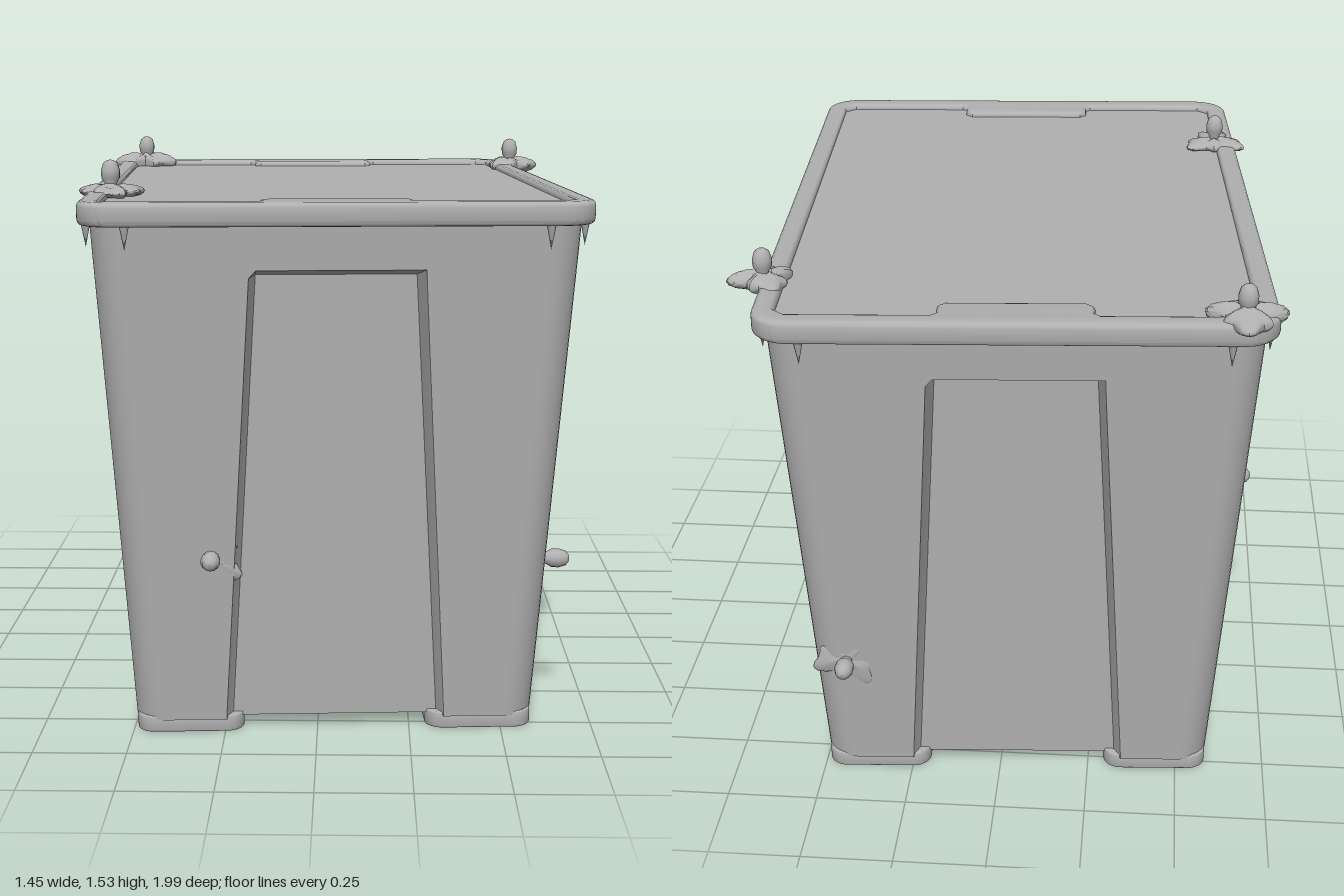
import * as THREE from 'three';
import { toCreasedNormals } from 'three/addons/utils/BufferGeometryUtils.js';

const grey = new THREE.MeshStandardMaterial({ color: 0xb0b0b0, side: THREE.DoubleSide });
grey.name = 'grey plastic';

const YAW = 0.06;
const FLOOR = 0.035;
const halfWidth = y => 0.54 + 0.095 * y / 1.38;
const halfLength = y => 0.82 + 0.1 * y / 1.38;

function add(parent, name, geometry) {
  const mesh = new THREE.Mesh(geometry, grey);
  mesh.name = name;
  parent.add(mesh);
  return mesh;
}

// One horizontal section of the tub: rounded corners and a recess in every side
function tubRing(y, recessed) {
  const W = halfWidth(y), L = halfLength(y), r = 0.085, pts = [];
  const k = Math.min(y / 1.26, 1);
  for (let s = 0; s < 4; s++) {
    const end = s % 2 === 0;
    const along = end ? W : L, out = end ? L : W;
    const e = end ? 0.28 - 0.07 * k : 0.57 - 0.08 * k;
    const lip = end ? 0.018 : 0.03;
    const depth = recessed ? (end ? 0.035 + 0.05 * k : 0.015) : 0;
    const section = [[-e - lip, out], [-e, out - depth], [e, out - depth], [e + lip, out]];
    for (let i = 0; i <= 8; i++) {
      const a = i / 8 * Math.PI / 2;
      section.push([along - r + r * Math.sin(a), out - r + r * Math.cos(a)]);
    }
    for (const [t, n] of section) {
      const [x, z] = [[t, n], [n, -t], [-t, -n], [-n, t]][s];
      pts.push([x, y, z]);
    }
  }
  return pts;
}

function tubGeometry() {
  const rings = [tubRing(FLOOR, true), tubRing(0.65, true), tubRing(1.25, true),
    tubRing(1.27, false), tubRing(1.4, false)];
  const n = rings[0].length, pos = [];
  const tri = (a, b, c) => pos.push(...a, ...b, ...c);
  for (let i = 0; i < n; i++) {
    const j = (i + 1) % n;
    for (let k = 0; k < rings.length - 1; k++) {
      const lo = rings[k], hi = rings[k + 1];
      tri(lo[i], lo[j], hi[j]);
      tri(lo[i], hi[j], hi[i]);
    }
    tri([0, FLOOR, 0], rings[0][j], rings[0][i]);
  }
  const g = new THREE.BufferGeometry();
  g.setAttribute('position', new THREE.Float32BufferAttribute(pos, 3));
  return toCreasedNormals(g, 0.5);
}

function roundedRect(x0, y0, x1, y1, r) {
  const s = new THREE.Shape();
  s.absarc(x1 - r, y1 - r, r, 0, Math.PI / 2);
  s.absarc(x0 + r, y1 - r, r, Math.PI / 2, Math.PI);
  s.absarc(x0 + r, y0 + r, r, Math.PI, Math.PI * 1.5);
  s.absarc(x1 - r, y0 + r, r, Math.PI * 1.5, Math.PI * 2);
  return s;
}

// Extrudes a plan shape upward between two heights, with a rounded edge
function slab(shape, y0, y1, bevel) {
  const g = new THREE.ExtrudeGeometry(shape, {
    depth: y1 - y0 - 2 * bevel, bevelEnabled: bevel > 0, bevelSize: bevel,
    bevelThickness: bevel, bevelOffset: -bevel, bevelSegments: 3, curveSegments: 10
  });
  g.rotateX(-Math.PI / 2);
  g.translate(0, y0 + bevel, 0);
  return toCreasedNormals(g, 0.6);
}

// Inner outline of the lid rim, with a handle tab at each end
function rimHole() {
  const quarter = [[0.607, 0.87], [0.575, 0.9], [0.215, 0.9], [0.2, 0.885], [0.2, 0.84], [0.18, 0.82]];
  const pts = [
    ...quarter, ...quarter.map(([x, y]) => [-x, y]).reverse(),
    ...quarter.map(([x, y]) => [-x, -y]), ...quarter.map(([x, y]) => [x, -y]).reverse()
  ];
  return new THREE.Path(pts.map(([x, y]) => new THREE.Vector2(x, y)));
}

// Crumpled patch: a flat dome whose outline wobbles with the angle
function crumple(radius, height, seed) {
  const g = new THREE.IcosahedronGeometry(1, 5);
  const p = g.attributes.position;
  for (let i = 0; i < p.count; i++) {
    const x = p.getX(i), y = p.getY(i), z = p.getZ(i);
    const a = Math.atan2(z, x);
    const f = radius * (0.85 + 0.2 * Math.sin(3 * a + seed) + 0.12 * Math.sin(7 * a + 2 * seed));
    p.setXYZ(i, x * f, y * height * (1 + 0.25 * Math.sin(5 * a + seed)), z * f);
  }
  g.computeVertexNormals();
  return toCreasedNormals(g, 0.6);
}

function pinGeometry() {
  const profile = [[0, -0.02], [0.014, -0.02], [0.016, 0.015], [0.025, 0.03],
    [0.026, 0.05], [0.02, 0.07], [0.01, 0.078], [0, 0.08]];
  return new THREE.LatheGeometry(profile.map(([x, y]) => new THREE.Vector2(x, y)), 14);
}

export function createModel() {
  const model = new THREE.Group();
  model.name = 'storageBin';
  const bin = new THREE.Group();
  bin.name = 'bin';
  bin.rotation.y = YAW;
  model.add(bin);

  add(bin, 'tub', tubGeometry());

  // Four short feet under the corners
  for (const sx of [-1, 1]) for (const sz of [-1, 1]) {
    const foot = roundedRect(-0.145, -0.13, 0.145, 0.13, 0.05);
    add(bin, 'foot', slab(foot, 0, FLOOR + 0.01, 0.004)).position.set(sx * 0.393, 0, sz * 0.688);
  }

  // Lid: raised rim around a slightly sunken panel
  const rim = roundedRect(-0.665, -0.965, 0.665, 0.965, 0.1);
  rim.holes.push(rimHole());
  add(bin, 'lidRim', slab(rim, 1.385, 1.447, 0.014));
  add(bin, 'lidPanel', slab(roundedRect(-0.63, -0.93, 0.63, 0.93, 0.08), 1.395, 1.43, 0));

  // Small teeth hanging below the lid near the corners
  const tooth = new THREE.ConeGeometry(0.014, 0.07, 8);
  tooth.rotateX(Math.PI);
  for (const sx of [-1, 1]) for (const sz of [-1, 1]) {
    add(bin, 'lidTooth', tooth).position.set(sx * 0.645, 1.36, sz * 0.84);
    add(bin, 'lidTooth', tooth).position.set(sx * 0.54, 1.36, sz * 0.945);
  }

  // Torn flap under the lid on the left side
  const flap = add(bin, 'tornFlap', new THREE.ConeGeometry(0.06, 0.15, 5));
  flap.scale.z = 0.25;
  flap.rotation.set(0, Math.PI / 2, Math.PI - 0.25);
  flap.position.set(0.645, 1.33, -0.72);

  // Pins with crumpled patches: position, direction, patch radius, patch height
  const pins = [
    [[-0.63, 1.45, -0.86], [0, 1, 0], 0.1, 0.03],
    [[0.62, 1.45, -0.71], [0, 1, 0], 0.085, 0.025],
    [[-0.57, 1.45, 0.55], [0, 1, 0], 0.095, 0.02],
    [[-0.28, 0.5, 0.865], [0, 0, 1], 0.09, 0.014],
    [[0.61, 0.45, 0.68], [1, 0, 0], 0.08, 0.014],
    [[0.42, 0.38, -0.87], [0, 0, -1], 0.09, 0.014],
    [[-0.605, 0.78, -0.45], [-1, 0, 0], 0.08, 0.014]
  ];
  const pin = pinGeometry();
  const up = new THREE.Vector3(0, 1, 0);
  pins.forEach(([at, dir, radius, height], i) => {
    const group = new THREE.Group();
    group.name = 'pinnedPatch';
    group.position.set(...at);
    group.quaternion.setFromUnitVectors(up, new THREE.Vector3(...dir));
    add(group, 'pin', pin);
    add(group, 'crumpledPatch', crumple(radius, height, i * 1.7)).position.y = -0.008;
    model.add(group);
  });

  return model;
}
